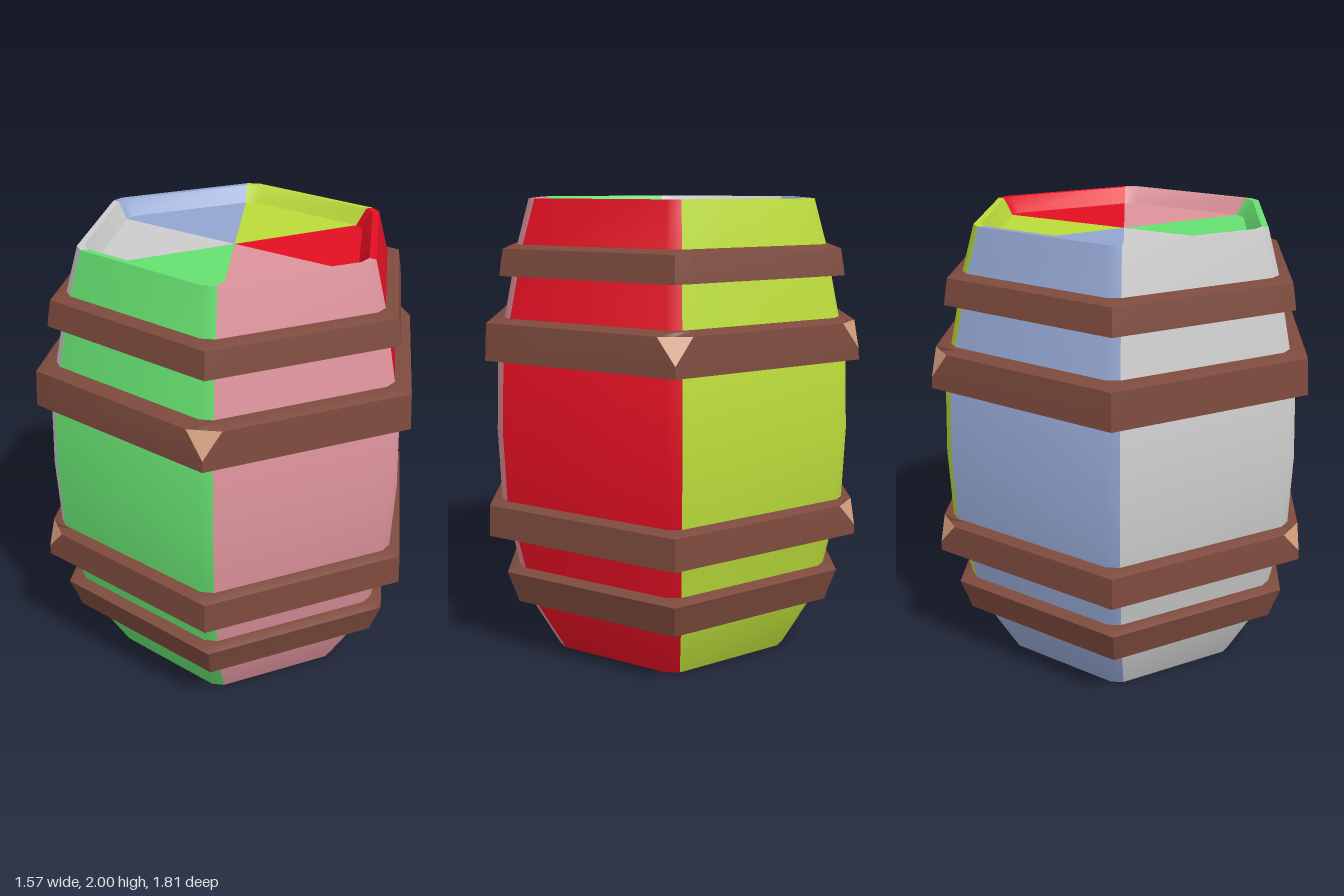
import * as THREE from 'three';
import { toCreasedNormals } from 'three/addons/utils/BufferGeometryUtils.js';

const STEP = Math.PI / 3;
const TAN30 = Math.tan(Math.PI / 6);

// Point on a vertical hexagon side: facing angle, distance from axis, offset along the side, height
const sidePoint = (angle, apothem, t, y) => new THREE.Vector3(
  apothem * Math.sin(angle) + t * Math.cos(angle), y,
  apothem * Math.cos(angle) - t * Math.sin(angle));

// Collects triangles, dropping those without area
class Surface {
  constructor() { this.points = []; }
  tri(a, b, c) {
    const area = new THREE.Vector3().subVectors(b, a).cross(new THREE.Vector3().subVectors(c, a)).length();
    if (area > 1e-7) this.points.push(a, b, c);
  }
  quad(a, b, c, d) { this.tri(a, b, c); this.tri(a, c, d); }
  mesh(name, color, crease) {
    const geometry = new THREE.BufferGeometry().setFromPoints(this.points);
    const mesh = new THREE.Mesh(toCreasedNormals(geometry, crease), new THREE.MeshStandardMaterial({ color }));
    mesh.name = name;
    return mesh;
  }
}

// Barrel section [apothem, y]: base, bulging wall, rim, recessed lid
const PROFILE = [
  [0, 0], [0.51, 0], [0.635, 0.26], [0.67, 0.42], [0.7, 0.58], [0.733, 0.73], [0.742, 1.04],
  [0.73, 1.34], [0.7, 1.51], [0.665, 1.69], [0.64, 1.82], [0.592, 2],
  [0.565, 2], [0.525, 1.93], [0, 1.93],
];

// One sixth of the barrel: a flat side plus the bevelled corner after it
function createStave(index, color) {
  const angle = (index + 0.5) * STEP;
  const surface = new Surface();
  const rows = PROFILE.map(([a, y]) => {
    const t = Math.max(0, a * TAN30 - 0.033);
    return [sidePoint(angle, a, -t, y), sidePoint(angle, a, t, y), sidePoint(angle + STEP, a, -t, y)];
  });
  for (let j = 0; j < rows.length - 1; j++) {
    for (let i = 0; i < 2; i++) {
      surface.quad(rows[j][i], rows[j][i + 1], rows[j + 1][i + 1], rows[j + 1][i]);
    }
  }
  return surface.mesh('stave' + (index + 1), color, 0.9);
}

// Hexagonal hoop; r0 and r1 are the corner radii at its lower and upper edge
function createHoop({ name, y0, y1, r0, r1, chips = [] }) {
  const group = new THREE.Group();
  group.name = name;
  const tip = 0.28;
  const section = [
    [r0 - 0.14, y0], [r0, y0],
    [r0 + (r1 - r0) * tip, y0 + (y1 - y0) * tip],
    [r1, y1 - 0.015], [r1 - 0.045, y1], [r1 - 0.16, y1],
  ];
  const band = new Surface();
  const chipped = new Surface();

  // Three columns per corner: before it, on it, after it
  const columns = [];
  for (let k = 0; k < 6; k++) {
    const before = [], corner = [], after = [];
    for (const [r, y] of section) {
      const a = r * Math.cos(STEP / 2);
      const h = a * TAN30;
      before.push(sidePoint((k - 0.5) * STEP, a, h - 0.08, y));
      corner.push(sidePoint((k + 0.5) * STEP, a, -h, y));
      after.push(sidePoint((k + 0.5) * STEP, a, -h + 0.08, y));
    }
    if (chips.includes(k)) corner[3].addVectors(before[3], after[3]).multiplyScalar(0.5);
    columns.push(before, corner, after);
  }

  columns.forEach((p, i) => {
    const q = columns[(i + 1) % columns.length];
    const hasChip = chips.includes(Math.floor(i / 3));
    for (let j = 0; j < section.length - 1; j++) {
      if (hasChip && j === 2 && i % 3 === 0) {
        band.tri(p[2], q[2], p[3]);
        chipped.tri(p[3], q[2], q[3]);
      } else if (hasChip && j === 2 && i % 3 === 1) {
        band.tri(p[2], q[2], q[3]);
        chipped.tri(p[2], q[3], p[3]);
      } else {
        band.quad(p[j], q[j], q[j + 1], p[j + 1]);
      }
    }
  });

  group.add(band.mesh('band', 0x7d4a3d, 0.6));
  if (chips.length) group.add(chipped.mesh('chippedCorners', 0xd09a78, 0.1));
  return group;
}

export function createModel() {
  const model = new THREE.Group();
  model.name = 'barrel';

  // Coloured staves, counter-clockwise from the front left side
  const colors = [0xdc929b, 0xe20f22, 0xbbdc3a, 0x92a5d0, 0xcccccc, 0x66e070];
  colors.forEach((color, i) => model.add(createStave(i, color)));

  // Hoops from bottom to top
  const hoops = [
    { name: 'lowestHoop', y0: 0.26, y1: 0.42, r0: 0.78, r1: 0.83 },
    { name: 'lowerHoop', y0: 0.585, y1: 0.735, r0: 0.905, r1: 0.9, chips: [3, 5] },
    { name: 'upperHoop', y0: 1.345, y1: 1.515, r0: 0.895, r1: 0.885, chips: [0, 2, 3] },
    { name: 'topHoop', y0: 1.69, y1: 1.815, r0: 0.82, r1: 0.8 },
  ];
  hoops.forEach((hoop) => model.add(createHoop(hoop)));
  return model;
}
